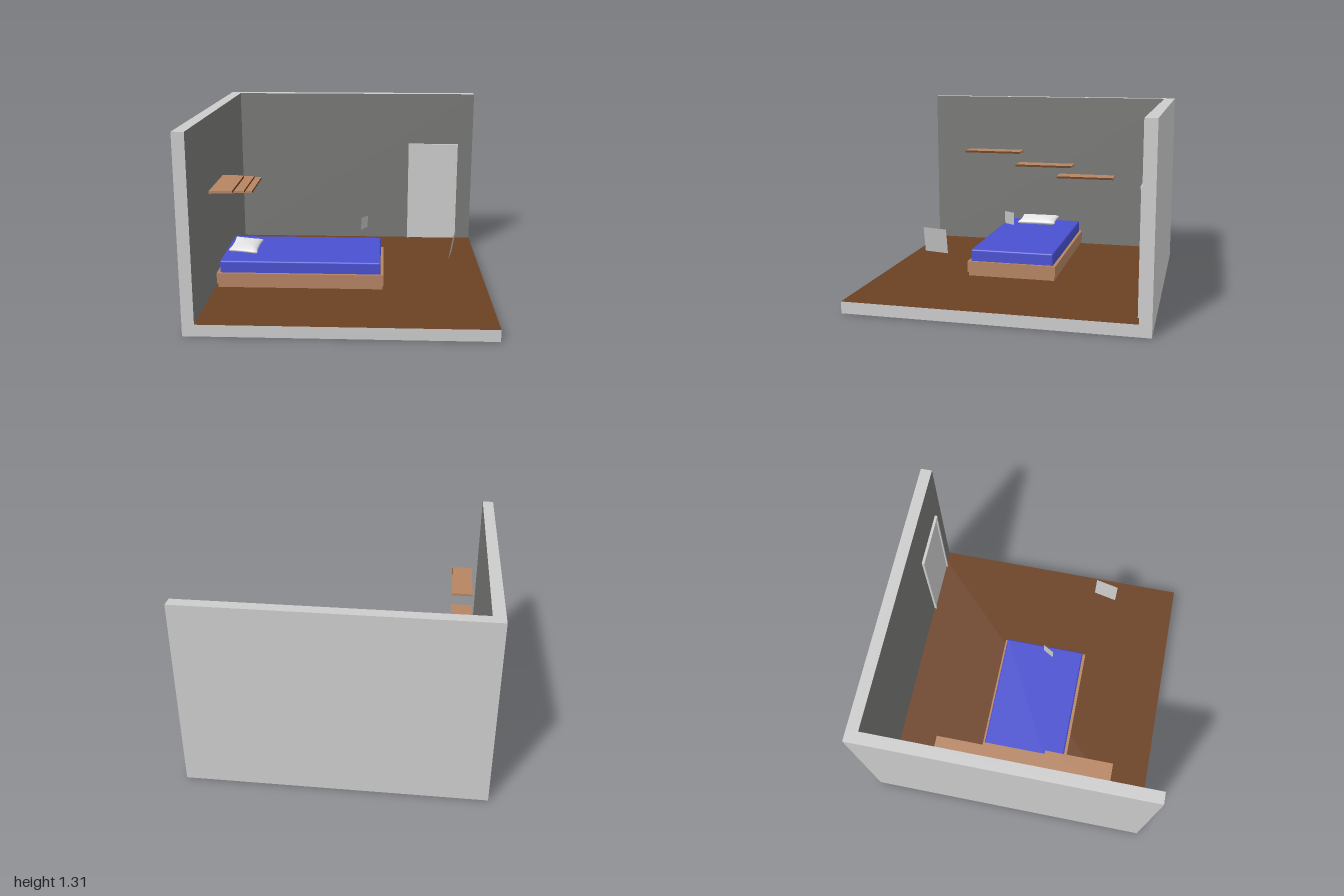
import * as THREE from 'three';
import { RoundedBoxGeometry } from 'three/addons/geometries/RoundedBoxGeometry.js';

const mat = (name, color, side = THREE.FrontSide) => {
  const m = new THREE.MeshStandardMaterial({ color, side });
  m.name = name;
  return m;
};

export function createModel() {
  const room = new THREE.Group();
  room.name = 'bedroom';

  const plaster = mat('light grey plaster', 0xcccccc);
  const innerWall = mat('dark grey wall paint', 0x777775);
  const floorWood = mat('dark brown floor', 0x6b4022);
  const wood = mat('light wood', 0xb58462);
  const blue = mat('blue mattress', 0x4a50d0);
  const white = mat('white pillow', 0xe6e6e6);
  const panelGrey = mat('grey panel', 0xc4c4c4, THREE.DoubleSide);

  const add = (name, geometry, material, parent = room) => {
    const mesh = new THREE.Mesh(geometry, material);
    mesh.name = name;
    parent.add(mesh);
    return mesh;
  };
  // Box given by its lower and upper corners
  const box = (name, a, b, material, parent) => {
    const mesh = add(name, new THREE.BoxGeometry(b[0] - a[0], b[1] - a[1], b[2] - a[2]), material, parent);
    mesh.position.set((a[0] + b[0]) / 2, (a[1] + b[1]) / 2, (a[2] + b[2]) / 2);
    return mesh;
  };
  // Six face materials, with one face painted differently
  const painted = (base, index, paint) => Array.from({ length: 6 }, (_, i) => (i === index ? paint : base));

  // Floor slab and two walls, painted on the inside
  box('floor', [-1, 0, -1], [1, 0.08, 1], painted(plaster, 2, floorWood));
  box('leftWall', [-1, 0.08, -1], [-0.92, 1.305, 1], painted(plaster, 0, innerWall));
  box('backWall', [-0.92, 0.08, -1], [1, 1.305, -0.92], painted(plaster, 4, innerWall));

  // Door with its surround
  const door = new THREE.Group();
  door.name = 'door';
  room.add(door);
  box('doorPanel', [0.49, 0.08, -0.92], [0.866, 0.872, -0.912], plaster, door);
  for (const x of [0.475, 0.866]) box('doorPost', [x, 0.08, -0.92], [x + 0.015, 0.872, -0.903], plaster, door);
  box('doorHead', [0.475, 0.872, -0.92], [0.881, 0.892, -0.9], plaster, door);

  // Bed frame, plinth and mattress
  const bed = new THREE.Group();
  bed.name = 'bed';
  room.add(bed);
  box('bedPlinth', [-0.893, 0.09, -0.263], [0.263, 0.118, 0.363], wood, bed);
  box('bedFrame', [-0.902, 0.118, -0.271], [0.27, 0.195, 0.371], wood, bed);
  const mattress = add('mattress', new RoundedBoxGeometry(1.13, 0.11, 0.6, 3, 0.012), blue, bed);
  mattress.position.set(-0.315, 0.225, 0.05);

  // Pillow: a box puffed up in the middle and pinched at the rim
  const pillowGeo = new THREE.SphereGeometry(1, 40, 24);
  const p = pillowGeo.attributes.position;
  for (let i = 0; i < p.count; i++) {
    const x = p.getX(i), y = p.getY(i), z = p.getZ(i);
    const r = Math.hypot(x, z);
    const m = Math.max(Math.abs(x), Math.abs(z)) || 1;
    const u = (x * r) / m, v = (z * r) / m; // disc stretched to a square
    const pinch = 1 - 0.08 * (1 - v * v) * u * u;
    const pinchZ = 1 - 0.05 * (1 - u * u) * v * v;
    p.setXYZ(i, u * 0.102 * pinch, y * 0.03, v * 0.152 * pinchZ);
  }
  pillowGeo.computeVertexNormals();
  const pillow = add('pillow', pillowGeo, white, bed);
  pillow.position.set(-0.737, 0.308, 0.068);
  pillow.rotation.z = -0.09;

  // Three staggered shelves with a back lip
  const shelfFaces = painted(wood, 0, floorWood);
  for (const [y, z] of [[0.869, 0.225], [0.765, -0.205], [0.679, -0.545]]) {
    box('shelf', [-0.86, y - 0.016, z], [-0.71, y, z + 0.462], shelfFaces);
    box('shelfLip', [-0.86, y - 0.021, z], [-0.848, y - 0.016, z + 0.462], shelfFaces);
  }

  // Thin tilted panels: corner plus an upward and a backward edge
  const panel = (name, corner, up, back) => {
    const c = new THREE.Vector3(...corner), u = new THREE.Vector3(...up), b = new THREE.Vector3(...back);
    const g = new THREE.PlaneGeometry(1, 1);
    const q = g.attributes.position;
    for (let i = 0; i < 4; i++) {
      const v = c.clone().addScaledVector(b, q.getX(i) + 0.5).addScaledVector(u, q.getY(i) + 0.5);
      q.setXYZ(i, v.x, v.y, v.z);
    }
    g.computeVertexNormals();
    add(name, g, panelGrey);
  };
  panel('largePanel', [0.7, 0.373, 0.522], [0.03, 0.166, 0], [0.035, 0, -0.167]);
  panel('smallPanel', [0.105, 0.453, 0.132], [0.006, 0.09, 0], [0.045, 0, -0.077]);

  return room;
}
